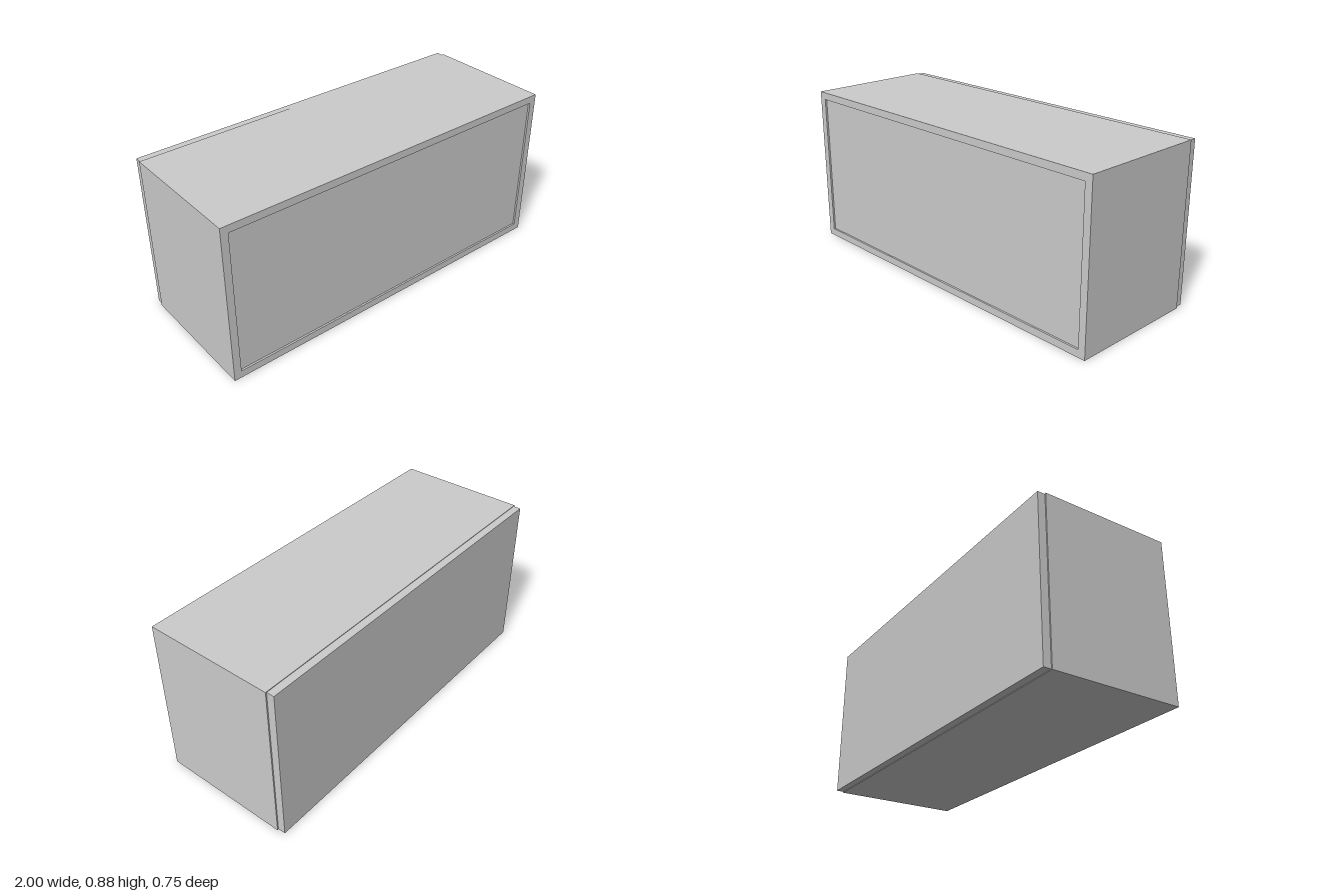
import * as THREE from 'three';

const W = 2, H = 0.875, BOARD = 0.04;
const FRONT = 0.375, CASE_BACK = -0.333, BACK = -0.374;

export function createModel() {
  const group = new THREE.Group();
  group.name = 'cabinet';
  const material = new THREE.MeshStandardMaterial({ color: 0xcccccc });

  const add = (name, geometry, x, y, z) => {
    const mesh = new THREE.Mesh(geometry, material);
    mesh.name = name;
    mesh.position.set(x, y, z);
    group.add(mesh);
  };

  // Rectangle path centred on x, from y0 to y1
  const rect = (path, halfWidth, y0, y1) => {
    path.moveTo(-halfWidth, y0);
    path.lineTo(halfWidth, y0);
    path.lineTo(halfWidth, y1);
    path.lineTo(-halfWidth, y1);
    path.closePath();
    return path;
  };

  // Case: four boards as one open rectangular tube
  const outline = rect(new THREE.Shape(), W / 2, 0, H);
  outline.holes.push(rect(new THREE.Path(), W / 2 - BOARD, BOARD, H - BOARD));
  add('case', new THREE.ExtrudeGeometry(outline, { depth: FRONT - CASE_BACK, bevelEnabled: false }), 0, 0, CASE_BACK);

  // Front panel, set slightly back inside the case
  const recess = 0.01, panelDepth = 0.02;
  add('insetPanel', new THREE.BoxGeometry(W - 2 * BOARD, H - 2 * BOARD, panelDepth),
    0, H / 2, FRONT - recess - panelDepth / 2);

  // Back board, a little smaller than the case on every side
  add('backBoard', new THREE.BoxGeometry(W - 0.013, H - 0.007, CASE_BACK - BACK),
    0, H / 2, (CASE_BACK + BACK) / 2);

  return group;
}
